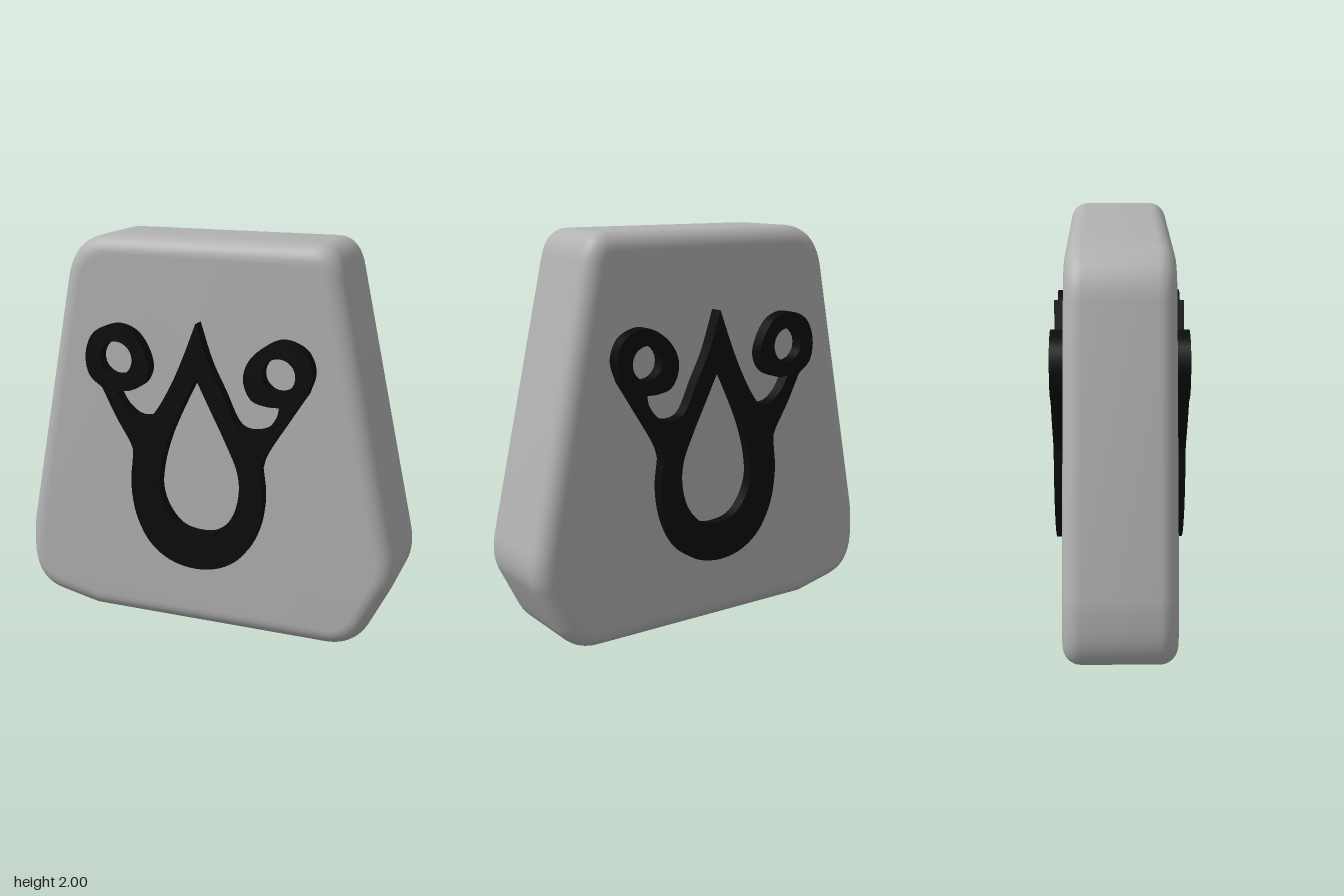
import * as THREE from 'three';
import { toCreasedNormals } from 'three/addons/utils/BufferGeometryUtils.js';

const stoneGrey = new THREE.MeshStandardMaterial({ color: 0xb2b2b2 });
stoneGrey.name = 'stoneGrey';
const inkBlack = new THREE.MeshStandardMaterial({ color: 0x0b0b0b });
inkBlack.name = 'inkBlack';

// Smooth runs joined at sharp corners, returned as one closed outline
function outline(runs) {
  const pts = [];
  for (const run of runs) {
    const curve = new THREE.CatmullRomCurve3(run.map(([x, y]) => new THREE.Vector3(x, y, 0)), false, 'centripetal');
    const p = curve.getPoints((run.length - 1) * 5);
    p.pop();
    pts.push(...p.map((v) => new THREE.Vector2(v.x, v.y)));
  }
  return pts;
}

// Rounded, irregular tablet with soft edges, thinning towards the top
function makeStone() {
  const s = new THREE.Shape();
  s.moveTo(-0.61, 0);
  s.lineTo(0.66, 0);
  s.quadraticCurveTo(0.8, 0, 0.87, 0.12);
  s.lineTo(0.975, 0.33);
  s.quadraticCurveTo(1.015, 0.41, 0.99, 0.53);
  s.lineTo(0.7, 1.86);
  s.quadraticCurveTo(0.67, 2, 0.56, 2);
  s.lineTo(-0.48, 2);
  s.quadraticCurveTo(-0.69, 2, -0.735, 1.79);
  s.lineTo(-0.99, 0.46);
  s.quadraticCurveTo(-1, 0.4, -1, 0.3);
  s.quadraticCurveTo(-1, 0.08, -0.82, 0.045);
  s.lineTo(-0.61, 0);

  const bevel = 0.09, thickness = 0.55, depth = thickness - 2 * bevel;
  const geo = new THREE.ExtrudeGeometry(s, {
    depth, bevelEnabled: true, bevelSize: bevel, bevelThickness: bevel,
    bevelOffset: -bevel, bevelSegments: 8, curveSegments: 10,
  });
  geo.translate(0, 0, -depth / 2);
  const pos = geo.attributes.position;
  for (let i = 0; i < pos.count; i++) {
    pos.setZ(i, pos.getZ(i) * (1 - 0.046 * pos.getY(i)));
  }
  const mesh = new THREE.Mesh(toCreasedNormals(geo, 0.6), stoneGrey);
  mesh.name = 'stoneTablet';
  return mesh;
}

// Droplet with two curled arms, standing proud on both faces
function makeOrnament() {
  const shape = new THREE.Shape(outline([
    // left side of the tip, down to the left arm
    [[0.005, 1.61], [-0.07, 1.42], [-0.13, 1.29], [-0.2, 1.17], [-0.24, 1.125], [-0.31, 1.12], [-0.38, 1.17], [-0.425, 1.245]],
    // left curl
    [[-0.425, 1.245], [-0.36, 1.245], [-0.28, 1.285], [-0.245, 1.36], [-0.265, 1.45], [-0.33, 1.54], [-0.43, 1.573],
      [-0.54, 1.53], [-0.588, 1.42], [-0.57, 1.31], [-0.5, 1.25]],
    // outside of the left arm
    [[-0.5, 1.25], [-0.43, 1.11], [-0.34, 0.95], [-0.34, 0.9]],
    // bowl of the droplet
    [[-0.34, 0.9], [-0.352, 0.76], [-0.325, 0.59], [-0.25, 0.45], [-0.14, 0.37], [0, 0.342], [0.14, 0.37],
      [0.25, 0.45], [0.325, 0.59], [0.353, 0.76], [0.337, 0.91]],
    // outside of the right arm
    [[0.337, 0.91], [0.355, 0.97], [0.47, 1.16], [0.565, 1.31]],
    // right curl
    [[0.565, 1.31], [0.592, 1.41], [0.55, 1.51], [0.43, 1.555], [0.32, 1.5], [0.26, 1.42], [0.25, 1.34],
      [0.29, 1.26], [0.36, 1.237], [0.43, 1.235]],
    // inside of the right arm, back up to the tip
    [[0.43, 1.235], [0.42, 1.19], [0.37, 1.125], [0.29, 1.1], [0.225, 1.12], [0.14, 1.28], [0.07, 1.42], [0.005, 1.61]],
  ]));

  // Openings: droplet centre and the two curls
  shape.holes.push(new THREE.Path(outline([
    [[0.005, 1.34], [0.08, 1.19], [0.16, 1.03], [0.22, 0.89], [0.23, 0.78], [0.2, 0.66], [0.14, 0.58], [0.08, 0.545],
      [0, 0.54], [-0.08, 0.56], [-0.15, 0.63], [-0.193, 0.74], [-0.185, 0.87], [-0.14, 1.03], [-0.07, 1.19], [0.005, 1.34]],
  ])));
  for (const [x, y, r] of [[-0.422, 1.405, 0.087], [0.425, 1.39, 0.083]]) {
    const hole = new THREE.Path();
    hole.absarc(x, y, r, 0, Math.PI * 2, true);
    shape.holes.push(hole);
  }

  const depth = 0.65;
  const geo = new THREE.ExtrudeGeometry(shape, { depth, bevelEnabled: false, curveSegments: 16 });
  geo.translate(0, 0, -depth / 2);
  const mesh = new THREE.Mesh(toCreasedNormals(geo, 0.6), inkBlack);
  mesh.name = 'dropletOrnament';
  return mesh;
}

export function createModel() {
  const group = new THREE.Group();
  group.name = 'carvedStone';
  group.add(makeStone(), makeOrnament());
  return group;
}
